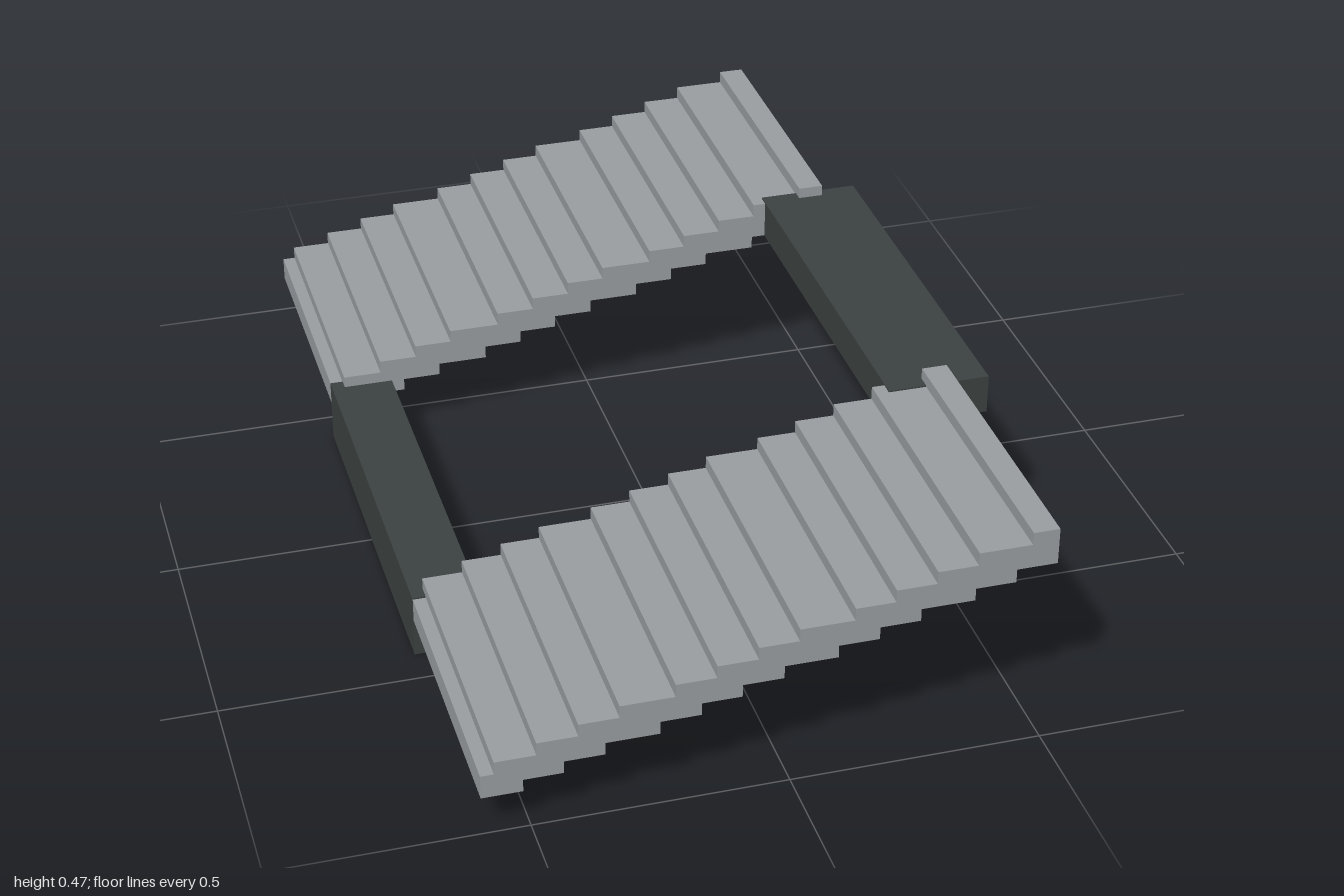
import * as THREE from 'three';

export function createModel() {
  const group = new THREE.Group();
  const grey = new THREE.MeshStandardMaterial({ name: 'stair grey', color: 0x999da1 });
  const dark = new THREE.MeshStandardMaterial({ name: 'beam charcoal', color: 0x3c4241 });

  // Stepped profile: each tread is [x where it starts, height]
  const topSteps = [
    [-0.593, 0.132], [-0.567, 0.159], [-0.487, 0.186], [-0.408, 0.212], [-0.33, 0.238],
    [-0.224, 0.265], [-0.145, 0.291], [-0.066, 0.317], [0.012, 0.343], [0.118, 0.369],
    [0.196, 0.395], [0.275, 0.421], [0.354, 0.448], [0.458, 0.474],
  ];
  const undersideSteps = [
    [-0.593, 0.082], [-0.513, 0.108], [-0.436, 0.134], [-0.357, 0.16], [-0.253, 0.187],
    [-0.174, 0.213], [-0.096, 0.239], [-0.016, 0.266], [0.088, 0.292], [0.167, 0.318],
    [0.246, 0.344], [0.351, 0.37], [0.43, 0.398],
  ];
  const endX = 0.51;

  // Turns step starts into the corners of a staircase line
  const corners = (steps) => steps.flatMap(([x, y], i) => [
    new THREE.Vector2(x, y),
    new THREE.Vector2(i + 1 < steps.length ? steps[i + 1][0] : endX, y),
  ]);
  const profile = new THREE.Shape([...corners(undersideSteps), ...corners(topSteps).reverse()]);

  // Two flights, one at each end of the beams
  const addFlight = (name, z0, z1) => {
    const geometry = new THREE.ExtrudeGeometry(profile, { depth: z1 - z0, bevelEnabled: false });
    const flight = new THREE.Mesh(geometry, grey);
    flight.name = name;
    flight.position.z = z0;
    group.add(flight);
  };
  addFlight('frontStairs', 0.393, 1);
  addFlight('backStairs', -1, -0.397);

  // Beams joining the flights at the bottom and the top
  const addBeam = (name, x0, x1, y0, y1) => {
    const beam = new THREE.Mesh(new THREE.BoxGeometry(x1 - x0, y1 - y0, 0.842), dark);
    beam.name = name;
    beam.position.set((x0 + x1) / 2, (y0 + y1) / 2, 0);
    group.add(beam);
  };
  addBeam('lowerBeam', -0.594, -0.463, 0, 0.135);
  addBeam('upperBeam', 0.38, 0.59, 0.369, 0.451);

  return group;
}
